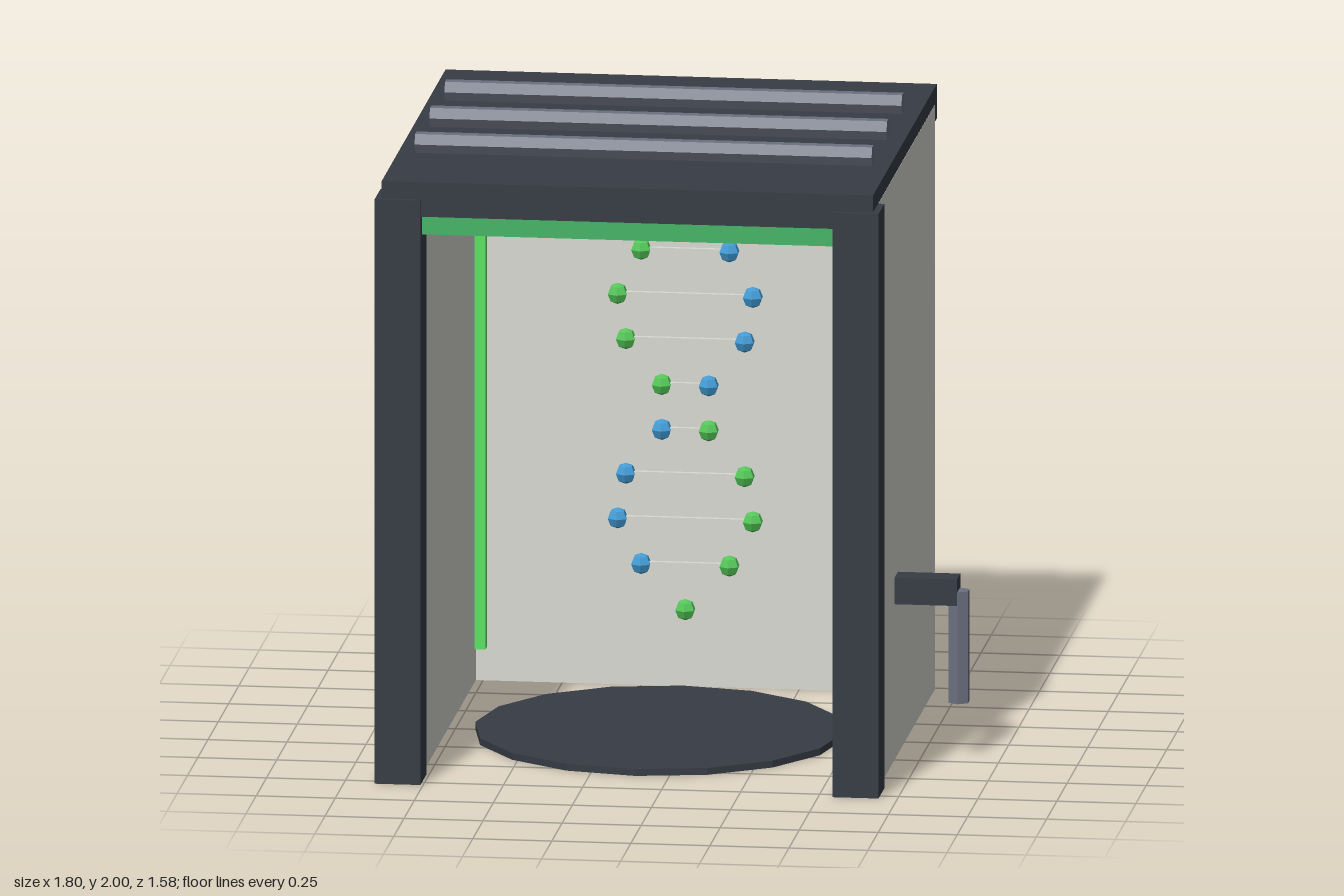
import * as THREE from 'three';

const material = (name, color) => {
  const m = new THREE.MeshStandardMaterial({ color, flatShading: true });
  m.name = name;
  return m;
};

export function createModel() {
  const model = new THREE.Group();
  model.name = 'booth';

  const dark = material('dark frame', 0x363c45);
  const panel = material('pale panel', 0xdadad4);
  const metal = material('grey metal', 0x6b7180);
  const canopy = material('deep green', 0x45b566);
  const glow = material('bright green', 0x5ce263);
  const green = material('bead green', 0x54c858);
  const blue = material('bead blue', 0x429cd6);

  // The booth body is centred on this x; the handle sticks out on one side
  const cx = -0.106;

  const add = (name, geometry, mat, x, y, z) => {
    const mesh = new THREE.Mesh(geometry, mat);
    mesh.name = name;
    mesh.position.set(x, y, z);
    model.add(mesh);
    return mesh;
  };
  // Box given by two opposite corners
  const box = (name, mat, x0, x1, y0, y1, z0, z1) =>
    add(name, new THREE.BoxGeometry(Math.abs(x1 - x0), y1 - y0, z1 - z0), mat,
      (x0 + x1) / 2, (y0 + y1) / 2, (z0 + z1) / 2);

  // Roof slab with three hexagonal rails
  box('roof', dark, cx - 0.777, cx + 0.777, 1.827, 1.938, -0.785, 0.771);
  for (const z of [-0.373, -0.009, 0.354]) {
    add('roofRail', new THREE.CylinderGeometry(0.035, 0.035, 1.446, 6), metal, cx, 1.969, z)
      .rotation.z = Math.PI / 2;
  }

  // Thick walls, leaving a small notch at the rear corners
  box('backWall', panel, cx - 0.722, cx + 0.722, 0, 1.883, -0.7856, -0.675);
  for (const s of [-1, 1]) {
    const side = s < 0 ? 'right' : 'left';
    box(side + 'Wall', panel, cx + s * 0.667, cx + s * 0.7776, 0, 1.883, -0.73, 0.72);
    box(side + 'FrontPillar', dark, cx + s * 0.652, cx + s * 0.797, 0.001, 1.883, 0.645, 0.79);
    // Light strip set into the rear inside corner
    box(side + 'LightStrip', glow, cx + s * 0.632, cx + s * 0.702, 0.108, 1.83, -0.71, -0.638);
  }

  // Green beam across the doorway, under the roof
  box('doorBeam', canopy, cx - 0.66, cx + 0.66, 1.766, 1.835, 0.682, 0.752);

  // Round floor plate
  add('floorPlate', new THREE.CylinderGeometry(0.582, 0.582, 0.022, 16), dark, cx, 0.011, -0.008);

  // Side handle: arm and hexagonal grip
  box('handleArm', dark, 0.66, 0.869, 0.502, 0.587, 0.167, 0.252);
  add('handleGrip', new THREE.CylinderGeometry(0.036, 0.036, 0.36, 6), metal, 0.87, 0.364, 0.21);

  // Double wave of beads joined by rungs, in front of the back wall
  const bead = new THREE.SphereGeometry(0.034, 6, 4).rotateY(Math.PI / 2);
  const levels = 10;
  const beadZ = -0.64;
  for (let i = 0; i < levels; i++) {
    const y = 0.255 + i * 0.1446;
    const d = 0.217 * Math.sin((i / (levels - 1)) * Math.PI * 2);
    const atEnd = i === 0 || i === levels - 1;
    add('greenBead', bead, green, cx + d, y, beadZ);
    if (i > 0) add('blueBead', bead, blue, cx - d - (atEnd ? 0.002 : 0), y, beadZ);
    if (!atEnd) {
      const r = Math.abs(d);
      box('rung', panel, cx - r, cx + r, y - 0.008, y + 0.008, beadZ - 0.008, beadZ + 0.008);
    }
  }

  return model;
}
